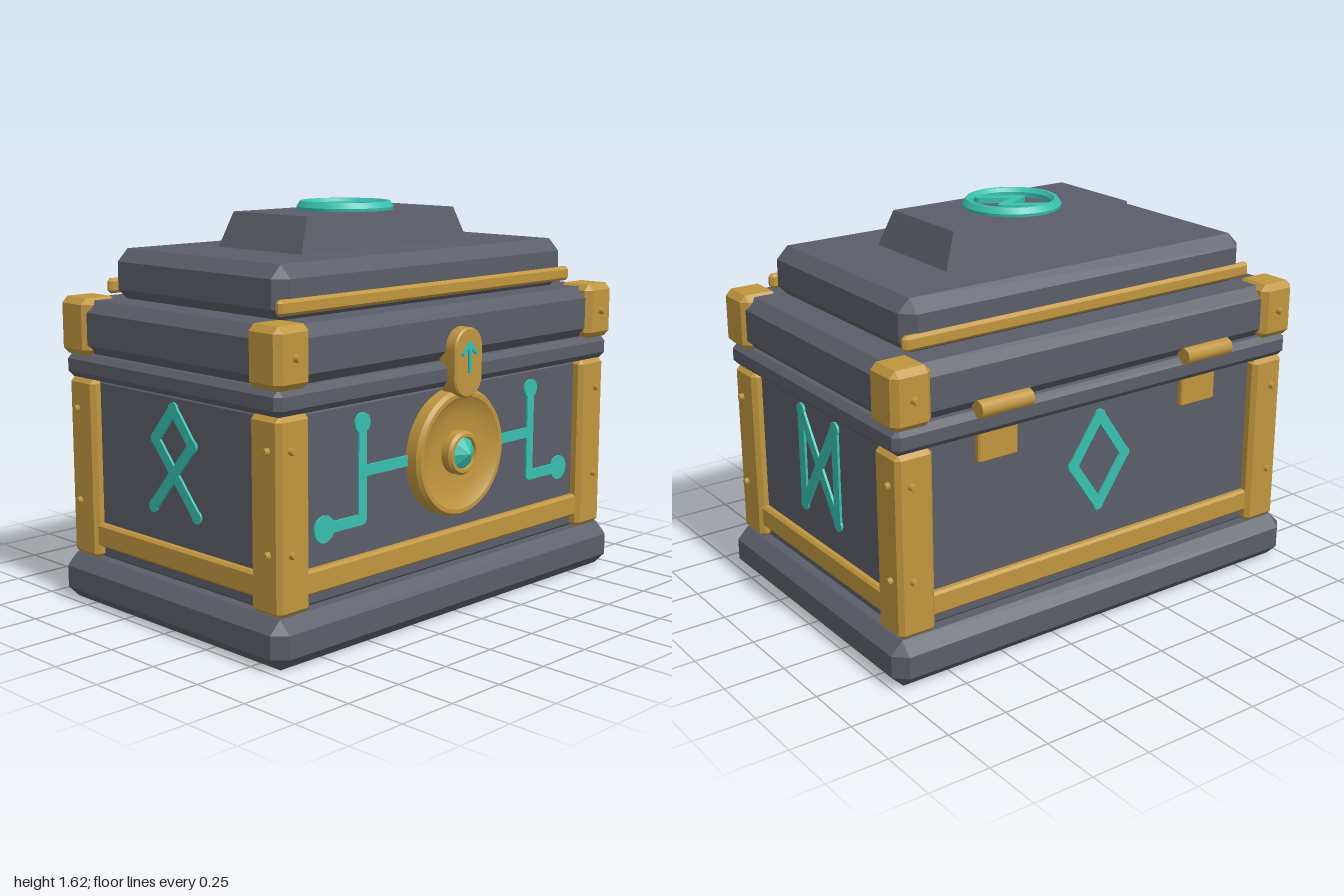
import * as THREE from 'three';
import { mergeGeometries, toCreasedNormals } from 'three/addons/utils/BufferGeometryUtils.js';
import { ConvexGeometry } from 'three/addons/geometries/ConvexGeometry.js';

const material = (name, color) => {
  const m = new THREE.MeshStandardMaterial({ color });
  m.name = name;
  return m;
};

export function createModel() {
  const stone = material('slate grey', 0x5b5e68);
  const gold = material('brass gold', 0xc0963f);
  const teal = material('glowing teal', 0x38c0b0);

  const model = new THREE.Group();
  model.name = 'chest';
  const chest = new THREE.Group();
  chest.name = 'chestParts';
  chest.position.z = -0.01;
  model.add(chest);

  const add = (name, geometry, mat, x = 0, y = 0, z = 0, parent = chest) => {
    const mesh = new THREE.Mesh(geometry, mat);
    mesh.name = name;
    mesh.position.set(x, y, z);
    parent.add(mesh);
    return mesh;
  };

  // Box with every edge and corner cut at 45 degrees
  const chamferBox = (w, h, d, c) => {
    const pts = [];
    for (const sx of [-1, 1]) for (const sy of [-1, 1]) for (const sz of [-1, 1]) {
      for (let full = 0; full < 3; full++) {
        const s = [w, h, d].map((v, i) => v / 2 - (i === full ? 0 : c));
        pts.push(new THREE.Vector3(sx * s[0], sy * s[1], sz * s[2]));
      }
    }
    return new ConvexGeometry(pts);
  };
  // Chamfered box between two heights
  const slab = (name, mat, w, y0, y1, d, c, x = 0, z = 0) =>
    add(name, chamferBox(w, y1 - y0, d, c), mat, x, (y0 + y1) / 2, z);

  // Flat strokes joined by round knobs, facing +z
  const strokes = (lines, width, knob, depth) => {
    const parts = [];
    for (const [x0, y0, x1, y1] of lines) {
      const bar = new THREE.BoxGeometry(Math.hypot(x1 - x0, y1 - y0), width, depth);
      bar.rotateZ(Math.atan2(y1 - y0, x1 - x0));
      parts.push(bar.translate((x0 + x1) / 2, (y0 + y1) / 2, 0));
      for (const [x, y] of [[x0, y0], [x1, y1]]) {
        parts.push(new THREE.CylinderGeometry(knob, knob, depth, 12).rotateX(Math.PI / 2).translate(x, y, 0));
      }
    }
    return mergeGeometries(parts);
  };
  // Lathe turned to face +z
  const turned = (profile, segments) => toCreasedNormals(
    new THREE.LatheGeometry(profile.map(p => new THREE.Vector2(...p)), segments), 0.5);

  // Stone masses
  slab('base', stone, 2, 0, 0.19, 1.33, 0.05);
  slab('body', stone, 1.84, 0.17, 0.94, 1.16, 0.03);
  slab('bodyRim', stone, 1.94, 0.925, 1.025, 1.27, 0.025);
  slab('lid', stone, 1.93, 1.02, 1.24, 1.25, 0.045);
  slab('upperLid', stone, 1.66, 1.23, 1.44, 1, 0.05);
  const crown = [];
  for (const sx of [-1, 1]) for (const sz of [-1, 1]) {
    crown.push(new THREE.Vector3(sx * 0.485, 1.43, sz * 0.245), new THREE.Vector3(sx * 0.425, 1.58, sz * 0.213));
  }
  add('crownBlock', new ConvexGeometry(crown), stone);

  // Brass trim bars on the lid and rails round the body
  for (const s of [-1, 1]) {
    slab('lidTrim', gold, 1.69, 1.26, 1.32, 0.035, 0.012, 0, s * 0.497);
    slab('longRail', gold, 1.64, 0.24, 0.335, 0.06, 0.01, 0, s * 0.578);
    slab('sideRail', gold, 0.06, 0.24, 0.335, 0.98, 0.01, s * 0.918, 0);
  }

  // Corner posts, lid corner caps and their rivets
  const rivet = new THREE.CylinderGeometry(0.011, 0.018, 0.024, 6);
  for (const sx of [-1, 1]) for (const sz of [-1, 1]) {
    slab('cornerPost', gold, 0.16, 0.19, 0.925, 0.16, 0.018, sx * 0.88, sz * 0.545);
    slab('cornerCap', gold, 0.17, 1.02, 1.25, 0.175, 0.025, sx * 0.895, sz * 0.56);
    for (const y of [0.42, 0.8]) {
      add('postRivet', rivet, gold, sx * 0.9, y, sz * 0.63).rotation.x = sz * Math.PI / 2;
      add('postRivet', rivet, gold, sx * 0.965, y, sz * 0.567).rotation.z = -sx * Math.PI / 2;
    }
    add('capRivet', rivet, gold, sx * 0.895, 1.135, sz * 0.655).rotation.x = sz * Math.PI / 2;
  }

  // Hinges on the back
  for (const s of [-1, 1]) {
    add('hingeBarrel', new THREE.CylinderGeometry(0.036, 0.036, 0.235, 8).rotateZ(Math.PI / 2), gold, s * 0.5, 1.035, -0.637);
    add('hingePlate', chamferBox(0.18, 0.13, 0.04, 0.006), gold, s * 0.5, 0.87, -0.585);
  }

  // Round lock: dished plate, hub and faceted gem
  const lock = new THREE.Group();
  lock.name = 'lock';
  lock.position.set(0, 0.655, 0.57);
  lock.rotation.x = Math.PI / 2;
  chest.add(lock);
  add('lockPlate', turned([[0.255, 0], [0.255, 0.062], [0.243, 0.078], [0.226, 0.078], [0.2, 0.062],
    [0.15, 0.05], [0.08, 0.045], [0, 0.045]], 48), gold, 0, 0, 0, lock);
  add('lockHub', turned([[0.088, 0.04], [0.088, 0.08], [0.078, 0.092], [0.066, 0.092], [0.062, 0.08], [0, 0.08]], 32),
    gold, 0, 0, 0, lock);
  const gem = new THREE.ConeGeometry(0.066, 0.04, 8).toNonIndexed();
  gem.computeVertexNormals();
  add('gem', gem, teal, 0, 0.1, 0, lock);

  // Hasp reaching from the lid to the lock, with an arrow
  const hasp = new THREE.Shape();
  hasp.absarc(0, 1.075, 0.075, 0, Math.PI);
  hasp.absarc(0, 0.96, 0.075, Math.PI, Math.PI * 2);
  add('hasp', toCreasedNormals(new THREE.ExtrudeGeometry(hasp, {
    depth: 0.075, bevelSize: 0.006, bevelThickness: 0.006, bevelSegments: 1, curveSegments: 16,
  }), 0.5), gold, 0, 0, 0.595);
  add('haspArrow', strokes([[0, 0.985, 0, 1.095], [0, 1.095, -0.037, 1.055], [0, 1.095, 0.037, 1.055]], 0.016, 0.008, 0.009),
    teal, 0, 0, 0.679);

  // Inlaid circuits beside the lock
  for (const s of [-1, 1]) {
    add('circuit', strokes([[s * 0.24, 0.655, s * 0.5, 0.655], [s * 0.5, 0.47, s * 0.5, 0.84],
      [s * 0.5, 0.47, s * 0.7, 0.47]], 0.042, 0.021, 0.018), teal, 0, 0, 0.581);
    for (const [x, y, r] of [[0.5, 0.84, 0.04], [0.7, 0.47, 0.052]]) {
      add('circuitNode', new THREE.CylinderGeometry(r, r, 0.018, 16).rotateX(Math.PI / 2), teal, s * x, y, 0.581);
    }
  }

  // Runes on the two sides and the back
  add('leftRune', strokes([[-0.13, 0.47, -0.13, 0.87], [0.13, 0.47, 0.13, 0.87], [-0.13, 0.47, 0.13, 0.87],
    [-0.13, 0.87, 0.13, 0.47]], 0.044, 0.028, 0.018), teal, 0.921).rotation.y = Math.PI / 2;
  add('rightRune', strokes([[0, 0.87, -0.11, 0.74], [0, 0.87, 0.11, 0.74], [-0.11, 0.74, 0.13, 0.47],
    [0.11, 0.74, -0.13, 0.47]], 0.044, 0.026, 0.018), teal, -0.921).rotation.y = -Math.PI / 2;
  add('backRune', strokes([[0, 0.86, -0.13, 0.67], [0, 0.86, 0.13, 0.67], [0, 0.48, -0.13, 0.67],
    [0, 0.48, 0.13, 0.67]], 0.042, 0.024, 0.018), teal, 0, 0, -0.581).rotation.y = Math.PI;

  // Ring and rune on top of the crown
  add('crownRing', turned([[0.16, 0], [0.198, 0], [0.2, 0.012], [0.185, 0.035], [0.172, 0.035], [0.16, 0.02], [0.16, 0]], 40),
    teal, 0, 1.58, -0.005);
  add('crownRune', strokes([[-0.07, 0.125, 0.07, 0.037], [0.07, 0.037, -0.065, -0.037], [-0.065, -0.037, 0.07, -0.125]],
    0.044, 0.022, 0.024), teal, 0, 1.59, -0.005).rotation.x = -Math.PI / 2;

  return model;
}
